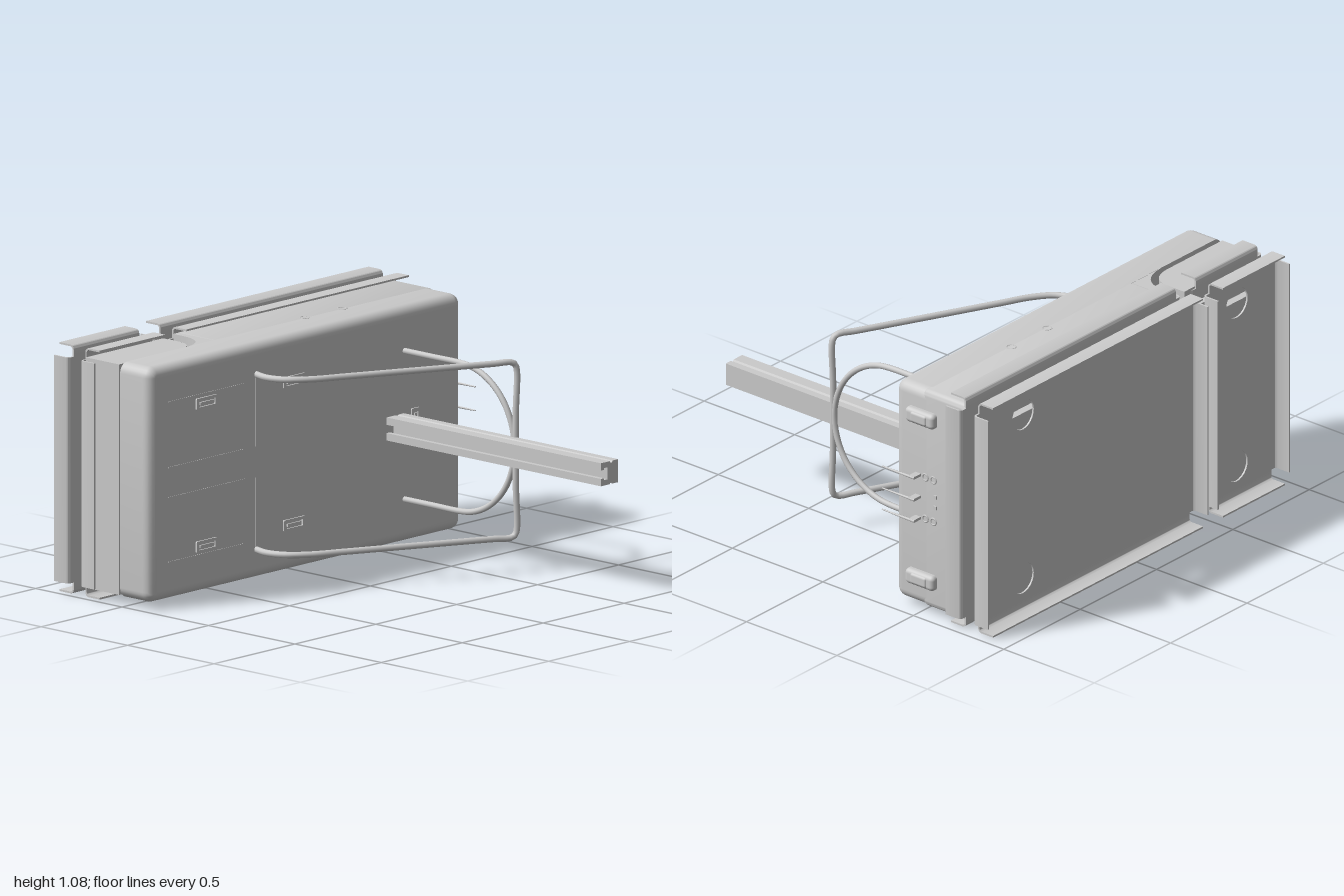
import * as THREE from 'three';
import { toCreasedNormals } from 'three/addons/utils/BufferGeometryUtils.js';
import { RoundedBoxGeometry } from 'three/addons/geometries/RoundedBoxGeometry.js';

const V = (x, y, z) => new THREE.Vector3(x, y, z);
const MID = 0.545; // mid height of the housing

export function createModel() {
  const root = new THREE.Group();
  const mat = new THREE.MeshStandardMaterial({ color: 0xcccccc, side: THREE.DoubleSide });
  const add = (name, geo, x = 0, y = 0, z = 0) => {
    const m = new THREE.Mesh(geo, mat);
    m.name = name;
    m.position.set(x, y, z);
    root.add(m);
    return m;
  };
  // box given by its limits
  const box = (name, x0, x1, y0, y1, z0, z1) =>
    add(name, new THREE.BoxGeometry(x1 - x0, y1 - y0, z1 - z0), (x0 + x1) / 2, (y0 + y1) / 2, (z0 + z1) / 2);
  const extrude = (shape, depth) => toCreasedNormals(
    new THREE.ExtrudeGeometry(shape, { depth, bevelEnabled: false, curveSegments: 12 }), 0.6);

  const roundRect = (x0, x1, y0, y1, r) => {
    const s = new THREE.Shape();
    s.absarc(x1 - r, y1 - r, r, 0, Math.PI / 2);
    s.absarc(x0 + r, y1 - r, r, Math.PI / 2, Math.PI);
    s.absarc(x0 + r, y0 + r, r, Math.PI, Math.PI * 1.5);
    s.absarc(x1 - r, y0 + r, r, Math.PI * 1.5, Math.PI * 2);
    s.closePath();
    return s;
  };

  // loft of rounded rectangles with rounded front edge, capped at both ends
  const slab = (x0, x1, y0, y1, zBack, zFront, r) => {
    const rings = [[0, zBack]];
    for (let i = 0; i <= 6; i++) {
      const a = (i / 6) * Math.PI / 2;
      rings.push([r * (1 - Math.cos(a)), zFront - r + r * Math.sin(a)]);
    }
    const pos = [], idx = [], n = 28;
    rings.forEach(([inset, z]) => {
      const c = Math.max(r - inset, 0.0005);
      for (let k = 0; k < 4; k++) for (let j = 0; j < 7; j++) {
        const a = (k + j / 6) * Math.PI / 2;
        const cx = k === 0 || k === 3 ? x1 - r : x0 + r, cy = k < 2 ? y1 - r : y0 + r;
        pos.push(cx + c * Math.cos(a), cy + c * Math.sin(a), z);
      }
    });
    for (let i = 0; i < rings.length - 1; i++) for (let j = 0; j < n; j++) {
      const a = i * n + j, b = i * n + (j + 1) % n;
      idx.push(a, b, b + n, a, b + n, a + n);
    }
    const last = (rings.length - 1) * n;
    for (let j = 1; j < n - 1; j++) idx.push(0, j + 1, j, last, last + j, last + j + 1);
    const g = new THREE.BufferGeometry();
    g.setAttribute('position', new THREE.Float32BufferAttribute(pos, 3));
    g.setIndex(idx);
    return toCreasedNormals(g, 0.6);
  };

  // outline drawn in (x, -z), extruded upwards
  const upright = (name, shape, y0, y1) => {
    const m = add(name, extrude(shape, y1 - y0), 0, y0, 0);
    m.rotation.x = -Math.PI / 2;
  };

  // housing: front slab, main rear part, and fillet leading to the step
  add('housingFront', slab(-0.98, 0.95, 0.035, 1.055, -0.53, -0.355, 0.045));
  add('housingRear', slab(-0.42, 0.95, 0.035, 1.055, -0.74, -0.5, 0.03));
  const fillet = new THREE.Shape();
  fillet.moveTo(-0.38, 0.53);
  fillet.lineTo(-0.38, 0.74);
  fillet.lineTo(-0.43, 0.74);
  fillet.lineTo(-0.43, 0.67);
  fillet.quadraticCurveTo(-0.44, 0.53, -0.6, 0.53);
  upright('housingFillet', fillet, 0.036, 1.054);

  // separate end block seated in the step
  const block = new THREE.Shape();
  block.moveTo(-0.97, 0.545);
  block.lineTo(-0.6, 0.545);
  block.quadraticCurveTo(-0.49, 0.555, -0.49, 0.65);
  block.lineTo(-0.49, 0.74);
  block.lineTo(-0.97, 0.74);
  upright('endBlock', block, 0.045, 1.045);

  // bent rim strip along one edge of a pan
  const rimShape = new THREE.Shape();
  rimShape.moveTo(-0.01, 0);
  rimShape.lineTo(0.015, 0);
  rimShape.absarc(0.015, 0.02, 0.02, -Math.PI / 2, 0, false);
  rimShape.lineTo(0.035, 0.083);
  rimShape.lineTo(0.027, 0.083);
  rimShape.lineTo(0.027, 0.02);
  rimShape.absarc(0.015, 0.02, 0.012, 0, -Math.PI / 2, true);
  rimShape.lineTo(-0.01, 0.008);
  const rim = (name, at, out, dir, len) => {
    const g = extrude(rimShape, len).translate(0, 0, -len / 2);
    const d = V(0, 0, dir);
    g.applyMatrix4(new THREE.Matrix4().makeBasis(out, d, out.clone().cross(d)));
    add(name, g, at.x, at.y, at.z);
  };
  // pan = plate with four rims; dir is the way the rims turn
  const pan = (name, x0, x1, z, dir, holeX) => {
    const xc = (x0 + x1) / 2, h = 0.505;
    const s = new THREE.Shape([[x0, MID - h], [x1, MID - h], [x1, MID + h], [x0, MID + h]]
      .map(p => new THREE.Vector2(...p)));
    if (holeX !== undefined) for (const y of [0.155, 0.925]) {
      const hole = new THREE.Path();
      hole.absarc(holeX, y, 0.07, 0, Math.PI * 2, true);
      s.holes.push(hole);
    }
    add(name + 'Plate', extrude(s, 0.008), 0, 0, dir > 0 ? z : z - 0.008);
    for (const k of [-1, 1]) {
      rim(name + 'Rim', V(xc, MID + k * h, z), V(0, k, 0), dir, x1 - x0);
      rim(name + 'SideRim', V(k > 0 ? x1 : x0, MID, z), V(k, 0, 0), dir, 0.98);
    }
  };
  pan('mainFrontPan', -0.43, 0.945, -0.745, 1);
  pan('mainRearPan', -0.43, 0.945, -0.812, -1, 0.66);
  pan('endFrontPan', -0.965, -0.56, -0.745, 1);
  pan('endRearPan', -0.965, -0.56, -0.812, -1, -0.74);

  // spacers between the pans
  for (const [x0, x1] of [[0.43, 0.86], [-0.87, -0.54]]) {
    box('spacer', x0, x1, 0.115, 0.975, -0.775, -0.74);
    box('spacerCore', x0, x1, 0.155, 0.925, -0.811, -0.75);
  }

  // bent wire frame on the front
  const side = [[-0.32, -0.37], [-0.34, -0.28], [-0.31, -0.19], [-0.23, -0.12], [-0.1, -0.055],
    [0.2, 0.093], [0.5, 0.242], [0.575, 0.28]];
  const frame = [...side.map(([x, z]) => V(x, 0.922, z)), V(0.592, 0.905, 0.288), V(0.592, 0.7, 0.288),
    V(0.592, 0.39, 0.288), V(0.592, 0.178, 0.288), ...side.reverse().map(([x, z]) => V(x, 0.162, z))];
  add('wireFrame', new THREE.TubeGeometry(new THREE.CatmullRomCurve3(frame), 160, 0.014, 10));

  // U-shaped hoop standing out of the front
  const hoop = [V(0.592, 0.867, -0.37), V(0.592, 0.867, -0.2)];
  for (let i = 0; i <= 16; i++) {
    const a = Math.PI / 2 - (i / 16) * Math.PI;
    hoop.push(V(0.592, MID + 0.322 * Math.sin(a), -0.035 + 0.315 * Math.cos(a)));
  }
  hoop.push(V(0.592, 0.223, -0.2), V(0.592, 0.223, -0.37));
  add('hoop', new THREE.TubeGeometry(new THREE.CatmullRomCurve3(hoop), 100, 0.013, 10));

  // slotted bar pointing forwards; profile mirrored about its middle
  const half = [[0.48, 0.018], [0.48, 0.05], [0.535, 0.05], [0.54, 0.042], [0.548, 0.042], [0.553, 0.05], [0.587, 0.05]];
  const inner = [[0.522, 0.01], [0.522, 0.026], [0.5, 0.026], [0.5, 0.018]];
  const prof = [...inner, ...half];
  const barShape = new THREE.Shape([...prof, ...prof.slice().reverse().map(([x, y]) => [x, -y])]
    .map(([x, y]) => new THREE.Vector2(x, y + 0.547)));
  add('slottedBar', extrude(barShape, 1.245), 0, 0, -0.36);

  // framed clips on the front
  const clip = (x, y, turn) => {
    const s = roundRect(-0.065, 0.065, -0.025, 0.025, 0.005);
    s.holes.push(roundRect(-0.05, 0.05, -0.014, 0.014, 0.003));
    add('clipFrame', extrude(s, 0.012), x, y, -0.36).rotation.z = turn;
    add('clipTongue', new THREE.BoxGeometry(0.085, 0.012, 0.012), x, y, -0.354).rotation.z = turn;
  };
  for (const x of [-0.635, -0.095]) for (const y of [0.235, 0.855]) clip(x, y, 0);
  clip(0.655, MID, Math.PI / 2);

  // thin seams on the front
  for (const y of [0.2, 0.48, 0.61, 0.895]) box('seam', -0.87, -0.4, y - 0.002, y + 0.002, -0.36, -0.353);
  for (const x of [-0.33, 0.14]) for (const y of [0.315, 0.77])
    box('seam', x - 0.002, x + 0.002, y - 0.16, y + 0.16, -0.36, -0.353);

  // fittings on the left end: two grips, three prongs, sockets
  for (const y of [0.165, 0.925]) {
    add('grip', new RoundedBoxGeometry(0.05, 0.07, 0.16, 3, 0.02), 0.955, y, -0.51);
    add('gripRidge', new RoundedBoxGeometry(0.03, 0.05, 0.09, 3, 0.012), 0.97, y, -0.51);
  }
  for (const y of [0.445, MID, 0.648]) {
    const p = add('prong', new THREE.CylinderGeometry(0.003, 0.007, 0.18, 8), 0.991, y, -0.41);
    p.rotation.x = Math.PI / 2;
    box('prongFoot', 0.945, 0.995, y - 0.006, y + 0.006, -0.5, -0.47);
  }
  for (const z of [-0.525, -0.57]) for (const y of [0.45, 0.645])
    add('socketRing', new THREE.TorusGeometry(0.015, 0.004, 6, 16), 0.951, y, z).rotation.y = Math.PI / 2;
  for (const y of [0.52, 0.57]) box('pin', 0.945, 0.957, y - 0.008, y + 0.008, -0.59, -0.574);

  // small rings on the top
  for (const x of [0.165, 0.4])
    add('topRing', new THREE.TorusGeometry(0.02, 0.002, 6, 16), x, 1.055, -0.535).rotation.x = Math.PI / 2;

  return root;
}
